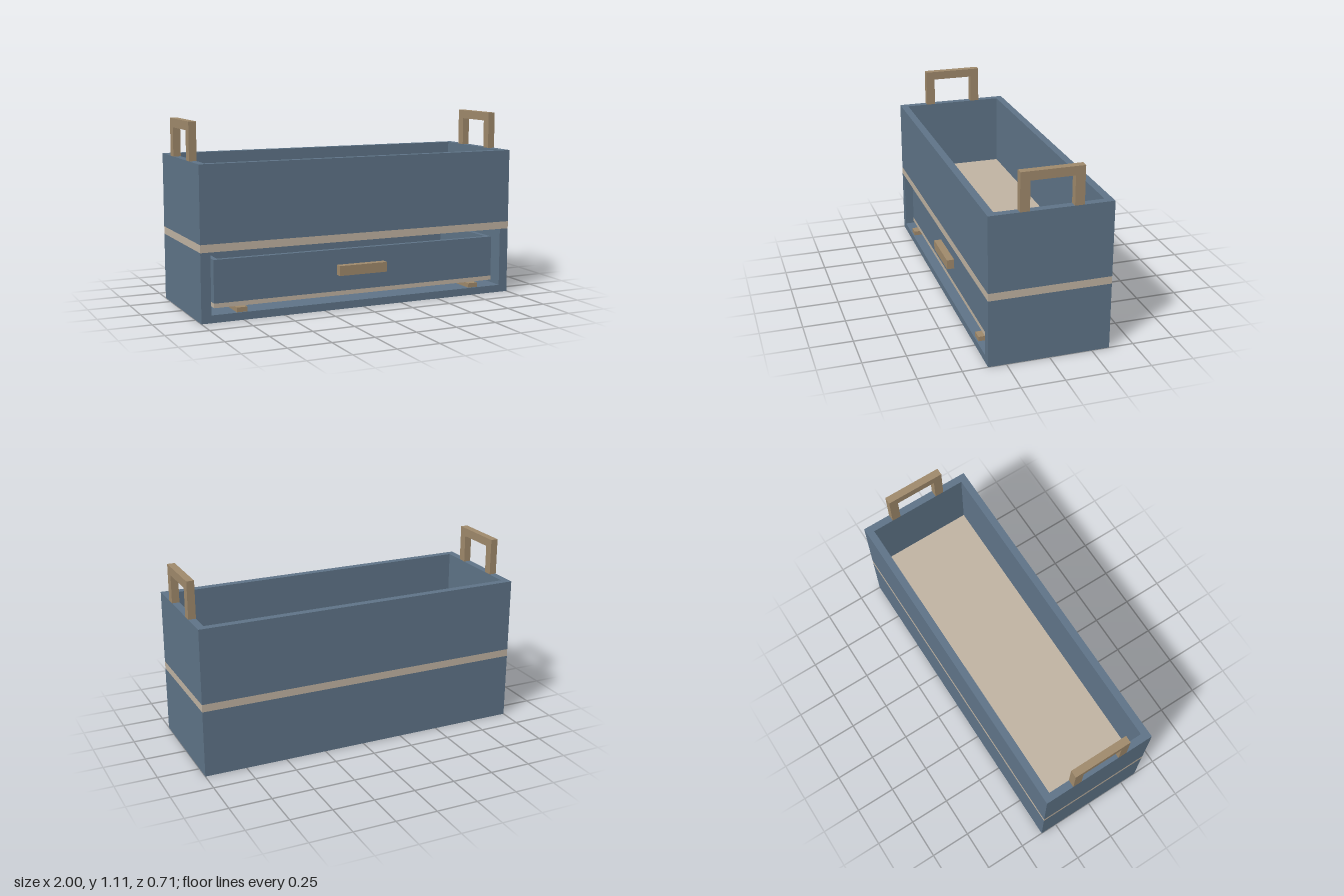
import * as THREE from 'three';

const material = (name, color) => {
  const m = new THREE.MeshStandardMaterial({ color });
  m.name = name;
  return m;
};

export function createModel() {
  const model = new THREE.Group();
  model.name = 'storageCrate';
  const blue = material('slate blue paint', 0x5f7488);
  const beige = material('pale beige wood', 0xc1b4a3);
  const tan = material('tan wood', 0xa08a6c);

  // Box given by its min and max corners
  const box = (parent, name, mat, [x0, y0, z0], [x1, y1, z1]) => {
    const mesh = new THREE.Mesh(new THREE.BoxGeometry(x1 - x0, y1 - y0, z1 - z0), mat);
    mesh.position.set((x0 + x1) / 2, (y0 + y1) / 2, (z0 + z1) / 2);
    mesh.name = name;
    parent.add(mesh);
    return mesh;
  };

  // Closed outline from [x, y] pairs
  const outline = (pts) => pts.map(([x, y]) => new THREE.Vector2(x, y));
  const rect = (w, h) => outline([[-w, -h], [w, -h], [w, h], [-w, h]]);
  const extrude = (shape, depth) =>
    new THREE.ExtrudeGeometry(shape, { depth, bevelEnabled: false });

  // Rectangular ring of walls standing between y0 and y1
  const wallRing = (parent, name, mat, w, d, t, y0, y1, z = 0) => {
    const shape = new THREE.Shape(rect(w, d));
    shape.holes.push(new THREE.Path(rect(w - t, d - t)));
    const mesh = new THREE.Mesh(extrude(shape, y1 - y0).rotateX(-Math.PI / 2), mat);
    mesh.position.set(0, y0, z);
    mesh.name = name;
    parent.add(mesh);
  };

  const W = 1, D = 0.355, T = 0.0445;
  const shelfY = 0.4, shelfTop = 0.445, rimY = 0.89;

  // Lower case: U-shaped shell, closed at the back, open at the front
  const u = 0.942;
  const shell = new THREE.Mesh(extrude(new THREE.Shape(outline([
    [-W, 0], [W, 0], [W, shelfY], [u, shelfY], [u, T], [-u, T], [-u, shelfY], [-W, shelfY],
  ])), 2 * D), blue);
  shell.position.z = -D;
  shell.name = 'lowerCase';
  model.add(shell);
  box(model, 'lowerBack', blue, [-u, T, -D], [u, shelfY, -D + T]);

  // Shelf whose edge shows as a band all round
  box(model, 'shelf', beige, [-W, shelfY, -D], [W, shelfTop, D]);

  // Open upper bin
  wallRing(model, 'upperWalls', blue, W, D, T, shelfTop, rimY);

  // Drawer: floor, open-topped walls and pull
  const drawer = new THREE.Group();
  drawer.name = 'drawer';
  model.add(drawer);
  const front = 0.308, back = -0.3, dw = 0.91;
  box(drawer, 'drawerFloor', beige, [-dw, 0.072, back], [dw, 0.098, front]);
  wallRing(drawer, 'drawerWalls', blue, dw, (front - back) / 2, 0.03, 0.098, 0.347, (front + back) / 2);
  box(drawer, 'drawerPull', tan, [-0.154, 0.197, front], [0.154, 0.256, 0.353]);

  // Arch-shaped carrying handle profile, across z and up y
  const a = 0.18, b = 0.125, h = 1.112 - rimY;
  const arch = new THREE.Shape(outline([
    [-a, 0], [-b, 0], [-b, h - 0.052], [b, h - 0.052], [b, 0], [a, 0], [a, h], [-a, h],
  ]));

  for (const [side, s] of [['left', 1], ['right', -1]]) {
    // Drawer runner
    box(model, side + 'Runner', tan, [s * 0.757 - 0.032, T, back], [s * 0.757 + 0.032, 0.072, 0.346]);
    // Carrying handle on the end wall
    const handle = new THREE.Mesh(extrude(arch, T).rotateY(Math.PI / 2), tan);
    handle.position.set(s > 0 ? W - T : -W, rimY, 0);
    handle.name = side + 'Handle';
    model.add(handle);
  }

  return model;
}
